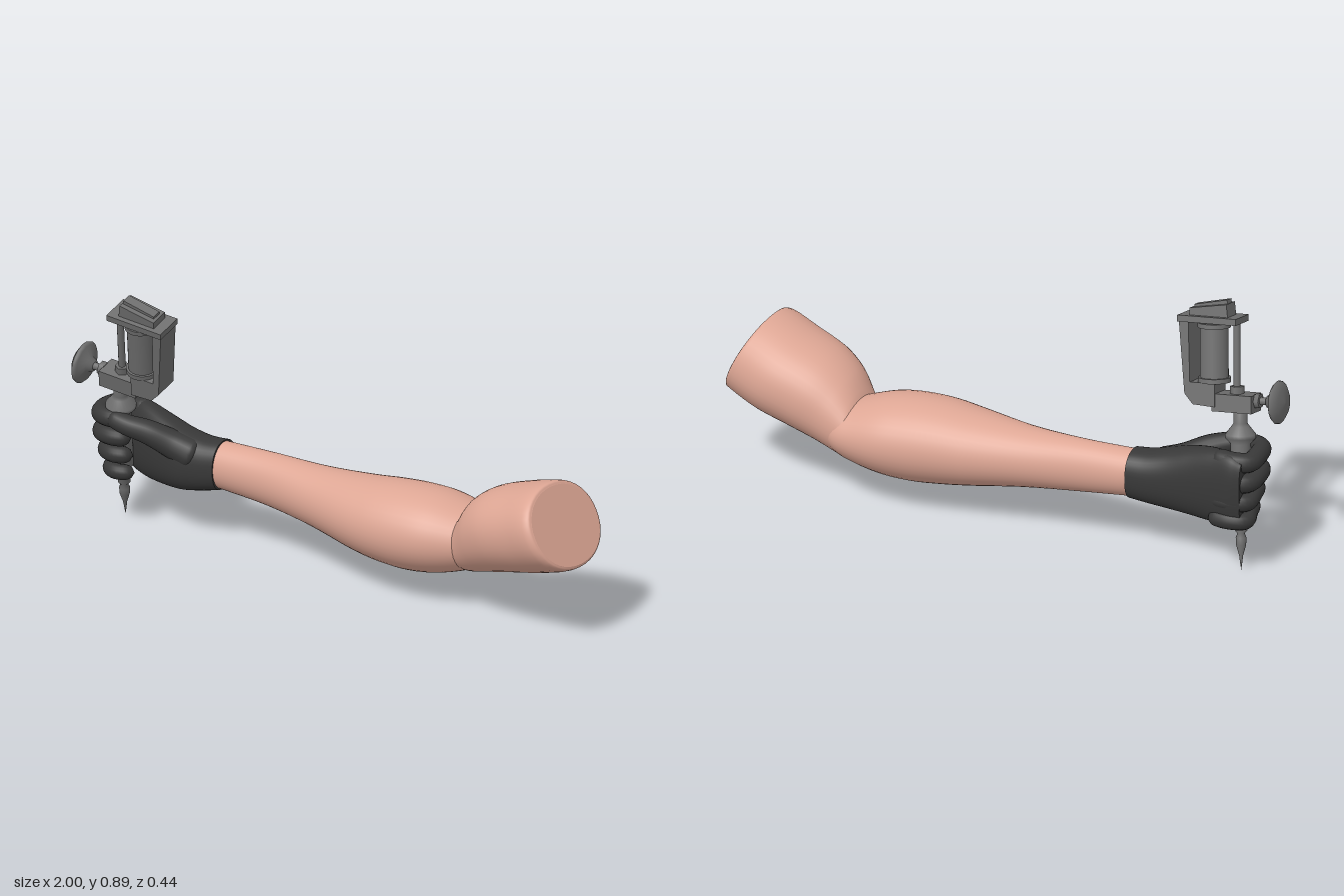
import * as THREE from 'three';
import { mergeVertices } from 'three/addons/utils/BufferGeometryUtils.js';

const V = (x, y, z) => new THREE.Vector3(x, y, z);
const material = (name, color) => {
  const m = new THREE.MeshStandardMaterial({ color });
  m.name = name;
  return m;
};

function add(parent, name, geometry, mat, x = 0, y = 0, z = 0) {
  const mesh = new THREE.Mesh(geometry, mat);
  mesh.name = name;
  mesh.position.set(x, y, z);
  parent.add(mesh);
  return mesh;
}

// Smooth body through sections [topX, topY, bottomX, bottomY, zBack, zFront], listed towards +x.
// power < 1 makes the rings boxier, skew leans the rings with z.
function loft(sections, power = 1, skew = 0, steps = 48, sides = 40) {
  const top = new THREE.CatmullRomCurve3(sections.map((s) => V(s[0], s[1], s[4])));
  const bottom = new THREE.CatmullRomCurve3(sections.map((s) => V(s[2], s[3], s[5])));
  const round = (v) => Math.sign(v) * Math.abs(v) ** power;
  const pos = [], idx = [];
  const ring = (t) => {
    const a = top.getPoint(t), b = bottom.getPoint(t);
    for (let j = 0; j < sides; j++) {
      const angle = (j / sides) * Math.PI * 2;
      const c = round(Math.cos(angle)) / 2, s = round(Math.sin(angle)) / 2;
      const dz = (b.z - a.z) * s;
      pos.push((a.x + b.x) / 2 + (a.x - b.x) * c + skew * dz,
        (a.y + b.y) / 2 + (a.y - b.y) * c, (a.z + b.z) / 2 + dz);
    }
  };
  for (let i = 0; i <= steps; i++) ring(i / steps);
  for (let i = 0; i < steps; i++) {
    for (let j = 0; j < sides; j++) {
      const k = (j + 1) % sides, a = i * sides + j, b = i * sides + k;
      idx.push(a, b, a + sides, b, b + sides, a + sides);
    }
  }
  // Flat end caps with their own vertices
  for (const t of [0, 1]) {
    const start = pos.length / 3;
    ring(t);
    const m = top.getPoint(t).add(bottom.getPoint(t)).multiplyScalar(0.5);
    pos.push(m.x, m.y, m.z);
    for (let j = 0; j < sides; j++) {
      const a = start + j, b = start + (j + 1) % sides;
      idx.push(start + sides, ...(t ? [a, b] : [b, a]));
    }
  }
  const g = new THREE.BufferGeometry();
  g.setAttribute('position', new THREE.Float32BufferAttribute(pos, 3));
  g.setIndex(idx);
  g.computeVertexNormals();
  return g;
}

// Tapered tube with rounded ends
function finger(points, r0, r1) {
  const steps = 40, sides = 16;
  const curve = new THREE.CatmullRomCurve3(points.map((p) => V(...p)));
  const g = new THREE.TubeGeometry(curve, steps, 1, sides);
  const p = g.attributes.position, v = V(0, 0, 0);
  for (let i = 0; i < p.count; i++) {
    const t = Math.floor(i / (sides + 1)) / steps, c = curve.getPointAt(t);
    const end = Math.max(0, (Math.abs(2 * t - 1) - 0.8) / 0.2);
    const r = (r0 + (r1 - r0) * t) * Math.sqrt(Math.max(0.0004, 1 - end * end));
    v.fromBufferAttribute(p, i).sub(c).multiplyScalar(r).add(c);
    p.setXYZ(i, v.x, v.y, v.z);
  }
  g.deleteAttribute('uv');
  g.deleteAttribute('normal');
  const merged = mergeVertices(g, 1e-5);
  merged.computeVertexNormals();
  return merged;
}

const lathe = (points, sides = 24) =>
  new THREE.LatheGeometry(points.map((p) => new THREE.Vector2(...p)), sides);

// Flat outline in x and y, given thickness in z
function plate(points, depth) {
  const shape = new THREE.Shape(points.map((p) => new THREE.Vector2(...p)));
  return new THREE.ExtrudeGeometry(shape, { depth, bevelEnabled: false }).translate(0, 0, -depth / 2);
}

export function createModel() {
  const model = new THREE.Group();
  model.name = 'armWithTool';
  const skin = material('skin', 0xdda694);
  const black = material('glove black', 0x383838);
  const metal = material('metal grey', 0x6e6e6e);

  // Forearm: upright sections [x, top, bottom, back, front]
  const upright = (list) => list.map(([x, t, b, z0, z1]) => [x, t, x, b, z0, z1]);
  add(model, 'forearm', loft(upright([
    [-0.5, 0.36, 0.195, -0.15, -0.01], [-0.3, 0.36, 0.175, -0.155, -0.003],
    [-0.1, 0.36, 0.15, -0.17, 0.04], [0.1, 0.375, 0.115, -0.195, 0.1],
    [0.2, 0.386, 0.102, -0.207, 0.12], [0.3, 0.39, 0.096, -0.217, 0.125],
    [0.4, 0.382, 0.105, -0.22, 0.115], [0.5, 0.355, 0.13, -0.205, 0.08],
    [0.56, 0.335, 0.155, -0.19, 0.05], [0.62, 0.31, 0.19, -0.15, 0.02],
  ])), skin);

  // Upper arm, bent upwards at the elbow and cut off flat
  add(model, 'upperArm', loft([
    [0.5, 0.335, 0.49, 0.14, -0.19, 0.055], [0.52, 0.37, 0.54, 0.14, -0.185, 0.08],
    [0.56, 0.42, 0.65, 0.172, -0.18, 0.13], [0.63, 0.47, 0.76, 0.203, -0.18, 0.17],
    [0.75, 0.517, 0.88, 0.235, -0.17, 0.2], [0.85, 0.55, 0.98, 0.27, -0.14, 0.22],
    [0.872, 0.552, 0.998, 0.28, -0.132, 0.213], [0.88, 0.543, 1.0, 0.29, -0.122, 0.203],
  ], 0.95, -0.1), skin);

  // Gloved hand: cuff and palm
  const hand = new THREE.Group();
  hand.name = 'glovedHand';
  model.add(hand);
  add(hand, 'palm', loft(upright([
    [-0.91, 0.41, 0.19, -0.16, -0.11], [-0.87, 0.43, 0.175, -0.167, -0.08],
    [-0.8, 0.43, 0.165, -0.158, -0.04], [-0.7, 0.408, 0.165, -0.147, 0],
    [-0.62, 0.383, 0.17, -0.145, 0.018], [-0.55, 0.366, 0.18, -0.149, 0.008],
    [-0.49, 0.364, 0.191, -0.154, -0.006],
  ]), 0.85), black);

  // Fingers curl around the grip, which leans with height
  [[0.4, 0.036, 0.002], [0.33, 0.036, 0], [0.263, 0.034, 0.012], [0.197, 0.031, 0.022]]
    .forEach(([y, r, inset], i) => {
      const lean = (y - 0.3) * 0.15;
      const path = [[-0.79, -0.115], [-0.87, -0.128], [-0.918, -0.11], [-0.93 + inset, -0.05],
        [-0.915 + inset, 0.005], [-0.86, 0.025], [-0.8, 0.005]];
      add(hand, 'finger' + (i + 1),
        finger(path.map(([x, z], k) => [x, y + (k > 2 ? 0.006 : 0), z + lean]), r, r * 0.85), black);
    });

  // Thumb lies along the front of the grip
  add(hand, 'thumb', finger([[-0.56, 0.3, -0.04], [-0.65, 0.335, -0.02], [-0.73, 0.375, 0.015],
    [-0.8, 0.395, 0.04], [-0.87, 0.415, 0.045]], 0.058, 0.03), black);

  // Needle tool, built upright from its tip and then leaned
  const tool = new THREE.Group();
  tool.name = 'needleTool';
  const up = V(0.11, 1, 0.24).normalize();
  const side = V(1, -0.11, 0).normalize();
  const forward = side.clone().cross(up).normalize();
  tool.quaternion.setFromRotationMatrix(new THREE.Matrix4().makeBasis(side, up, forward));
  tool.position.set(-0.895, 0.003, -0.105);
  model.add(tool);

  add(tool, 'needleAndGrip', lathe([[0, 0], [0.003, 0.02], [0.007, 0.05], [0.017, 0.085],
    [0.018, 0.11], [0.012, 0.125], [0.021, 0.135], [0.021, 0.19], [0.034, 0.21], [0.034, 0.43],
    [0.052, 0.45], [0.052, 0.462], [0.03, 0.49], [0.023, 0.5], [0.023, 0.56], [0, 0.56]]), metal);

  // Frame: clamp block, stepped base and chamfered side bar
  add(tool, 'clampBlock', new THREE.BoxGeometry(0.145, 0.06, 0.08), metal, 0.015, 0.57);
  add(tool, 'frame', plate([[0.075, 0.555], [0.155, 0.56], [0.185, 0.595], [0.205, 0.855],
    [0.17, 0.855], [0.165, 0.635], [0.075, 0.635]], 0.092), metal);
  add(tool, 'topPlate', new THREE.BoxGeometry(0.215, 0.022, 0.105), metal, 0.1, 0.85);
  add(tool, 'topBlock', plate([[0.03, 0.86], [0.17, 0.86], [0.17, 0.885], [0.035, 0.905]], 0.07), metal);
  add(tool, 'topRidge', plate([[0.035, 0.89], [0.16, 0.875], [0.16, 0.895], [0.04, 0.918]], 0.035), metal);

  // Coil with end washers, and the contact post beside it
  add(tool, 'coil', new THREE.CylinderGeometry(0.048, 0.048, 0.2, 24), metal, 0.095, 0.735);
  for (const y of [0.642, 0.828]) {
    add(tool, 'coilWasher', new THREE.CylinderGeometry(0.056, 0.056, 0.016, 24), metal, 0.095, y);
  }
  add(tool, 'contactPost', new THREE.CylinderGeometry(0.012, 0.012, 0.26, 12), metal, 0.012, 0.72);
  add(tool, 'postNut', new THREE.CylinderGeometry(0.024, 0.024, 0.03, 6), metal, 0.012, 0.61);

  // Adjusting knob on the side
  add(tool, 'knobStem', new THREE.CylinderGeometry(0.013, 0.013, 0.08, 12).rotateZ(Math.PI / 2),
    metal, -0.085, 0.58);
  add(tool, 'knobNut', new THREE.CylinderGeometry(0.026, 0.026, 0.02, 6).rotateZ(Math.PI / 2),
    metal, -0.065, 0.58);
  const knob = add(tool, 'knob', lathe([[0, 0], [0.02, 0], [0.028, 0.018], [0.066, 0.03],
    [0.074, 0.038], [0.072, 0.046], [0.05, 0.06], [0, 0.066]], 16), metal, -0.1, 0.58);
  knob.rotation.z = Math.PI / 2;

  return model;
}
